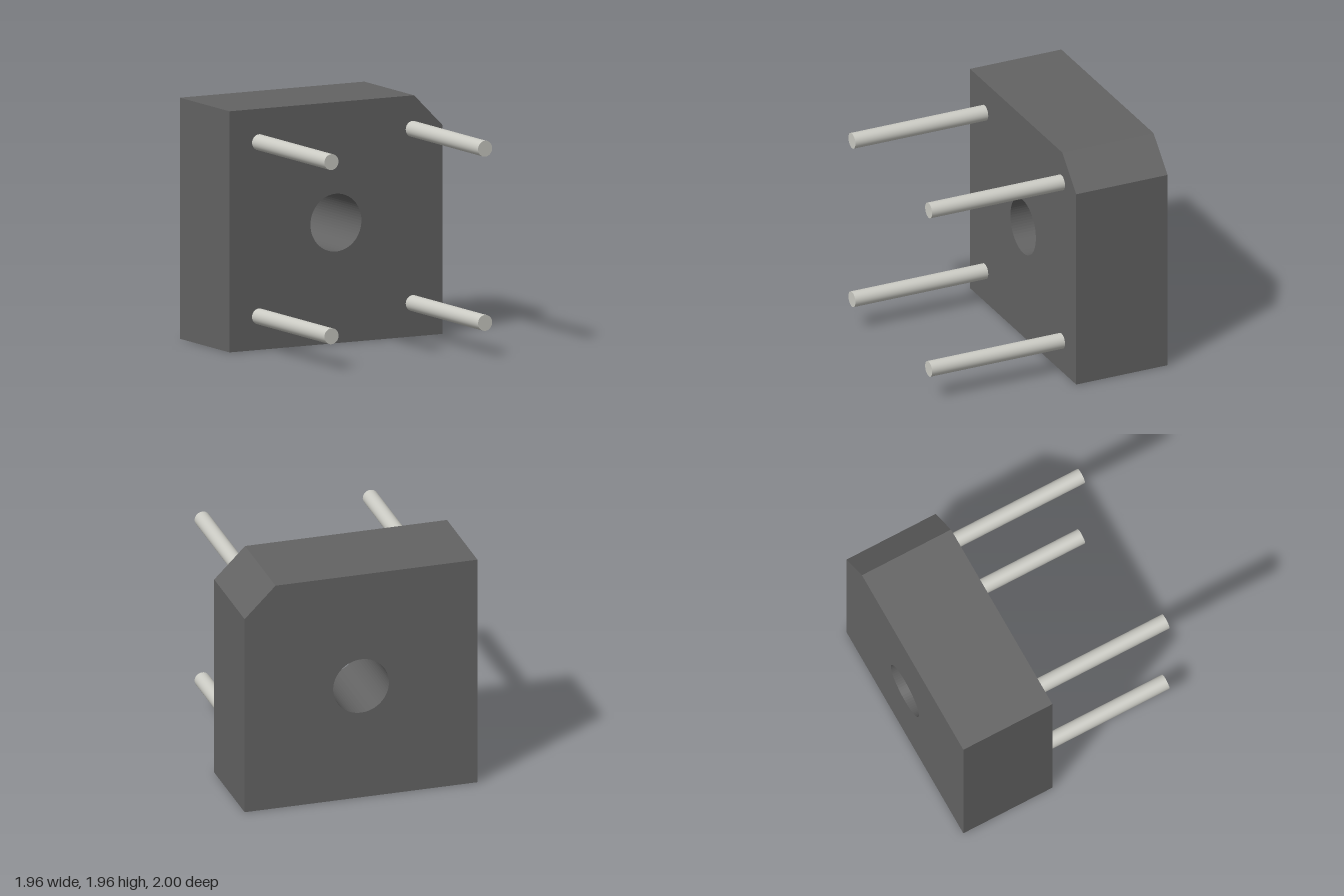
import * as THREE from 'three';

const HALF = 0.98;        // half width of the square body
const BACK = -1, FACE = -0.185, TIP = 1;
const CHAMFER = 0.26;

export function createModel() {
  const model = new THREE.Group();
  const bodyMaterial = new THREE.MeshStandardMaterial({ color: 0x636363 });
  const pinMaterial = new THREE.MeshStandardMaterial({ color: 0xcbcbc4 });

  // Square body with one cut corner and a central through hole
  const outline = new THREE.Shape([
    [-HALF, -HALF], [HALF, -HALF], [HALF, HALF - CHAMFER], [HALF - CHAMFER, HALF], [-HALF, HALF],
  ].map(([x, y]) => new THREE.Vector2(x, y)));
  outline.holes.push(new THREE.Path().absarc(0, 0, 0.235, 0, Math.PI * 2, true));
  const body = new THREE.Mesh(
    new THREE.ExtrudeGeometry(outline, { depth: FACE - BACK, bevelEnabled: false, curveSegments: 32 }),
    bodyMaterial,
  );
  body.name = 'body';
  body.position.set(0, HALF, BACK);
  model.add(body);

  // Four round terminal pins, set slightly into the front face
  const start = FACE - 0.02;
  const pinGeometry = new THREE.CylinderGeometry(0.065, 0.065, TIP - start, 32).rotateX(Math.PI / 2);
  for (const [sx, side] of [[1, 'Left'], [-1, 'Right']]) {
    for (const [sy, level] of [[1, 'upper'], [-1, 'lower']]) {
      const pin = new THREE.Mesh(pinGeometry, pinMaterial);
      pin.name = `${level}${side}Pin`;
      pin.position.set(sx * 0.708, HALF + sy * 0.708, (start + TIP) / 2);
      model.add(pin);
    }
  }
  return model;
}
